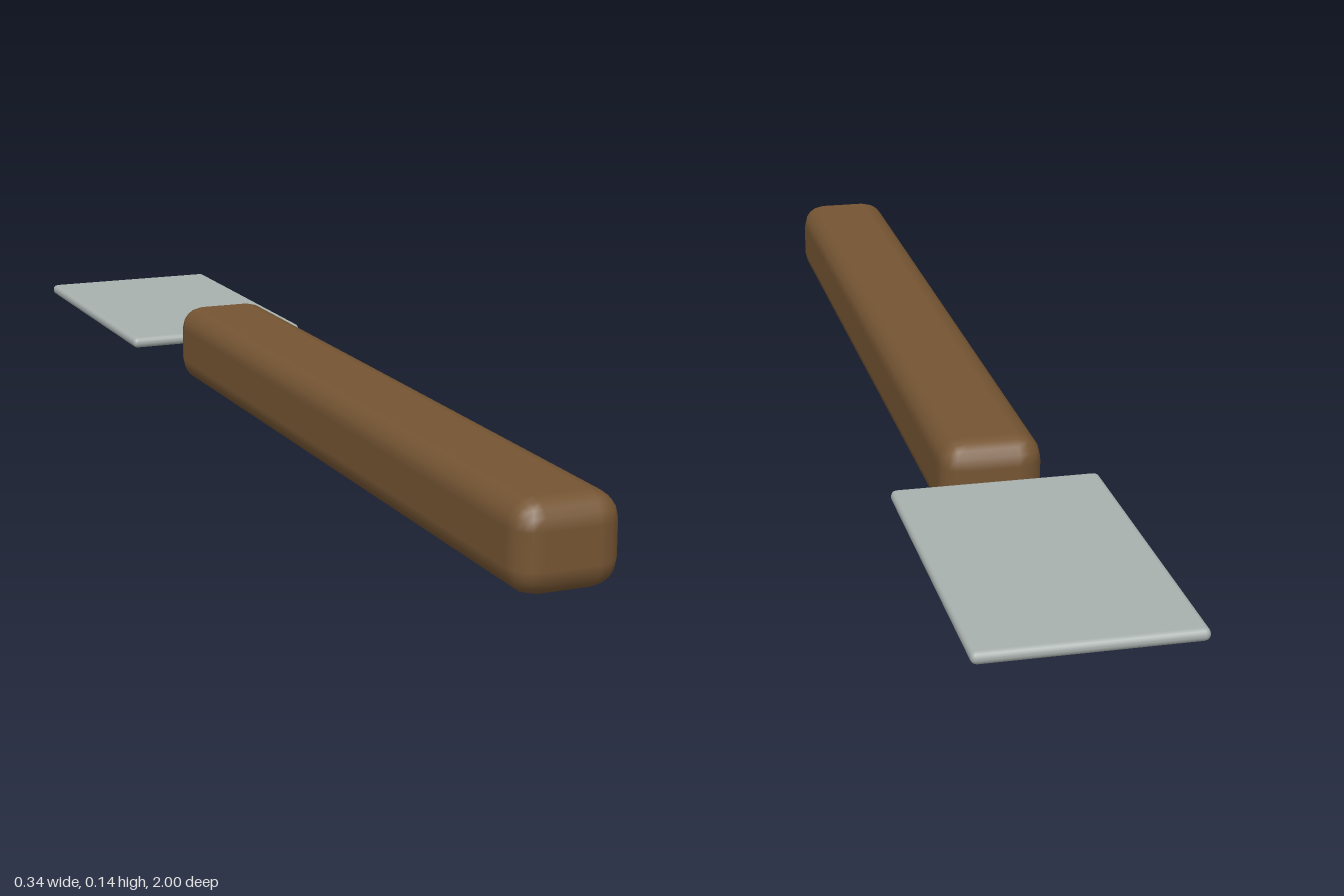
import * as THREE from 'three';
import { RoundedBoxGeometry } from 'three/addons/geometries/RoundedBoxGeometry.js';

// Rounded bar centred on x, spanning the given heights and depths
function roundedBar(name, width, [y0, y1], [z0, z1], radius, color) {
  const mesh = new THREE.Mesh(
    new RoundedBoxGeometry(width, y1 - y0, z1 - z0, 2, radius),
    new THREE.MeshStandardMaterial({ color })
  );
  mesh.name = name;
  mesh.position.set(0, (y0 + y1) / 2, (z0 + z1) / 2);
  return mesh;
}

export function createModel() {
  const group = new THREE.Group();
  group.name = 'scraper';
  // Long wooden grip with softened edges
  group.add(roundedBar('handle', 0.171, [0, 0.143], [-0.429, 1], 0.043, 0x755533));
  // Thin flat metal plate at the back end of the grip
  group.add(roundedBar('blade', 0.343, [0.062, 0.082], [-1, -0.429], 0.0095, 0xa9b1af));
  return group;
}
